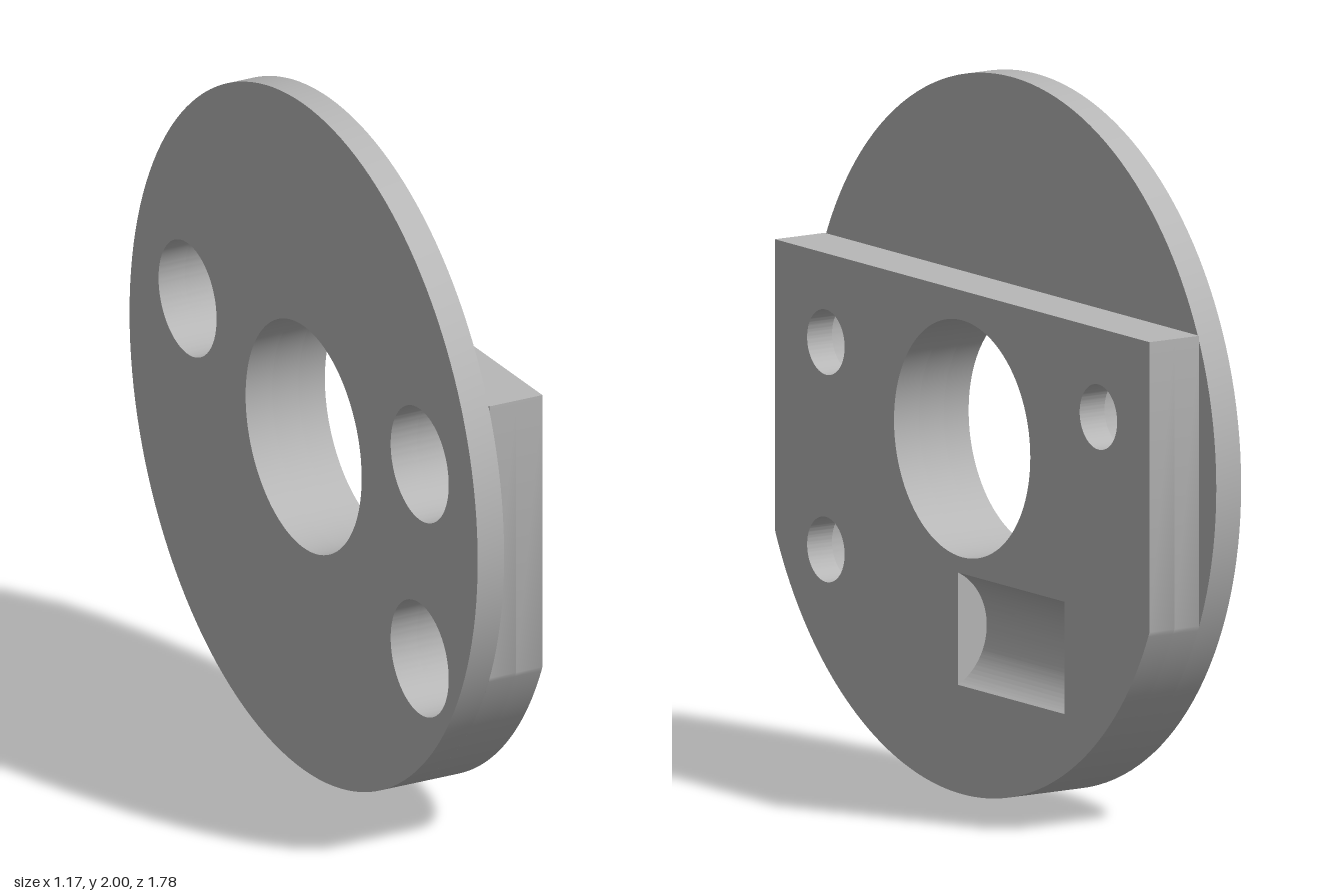
import * as THREE from 'three';
import { toCreasedNormals } from 'three/addons/utils/BufferGeometryUtils.js';

const FLANGE = 1 / 12;      // thickness of the round flange
const BORE_DEPTH = 1 / 6;   // depth of the wide screw bores
const TOTAL = 0.25;         // full thickness
const SCREWS = [[-2 / 3, 1 / 6], [2 / 3, 1 / 6], [2 / 3, -5 / 12]];
const POCKET = { x0: -0.5, x1: 0.02, y: -0.5375, half: 0.158, depth: 0.096 };

function addRoundHole(shape, x, y, r) {
  const hole = new THREE.Path();
  hole.absarc(x, y, r, 0, Math.PI * 2, true);
  shape.holes.push(hole);
}

function addHoles(shape, screwRadius) {
  addRoundHole(shape, 0, 0, 1 / 3);
  SCREWS.forEach(([x, y]) => addRoundHole(shape, x, y, screwRadius));
}

function extrude(shape, depth) {
  const geo = new THREE.ExtrudeGeometry(shape, { depth, bevelEnabled: false, curveSegments: 72 });
  return toCreasedNormals(geo, 0.5);
}

// Disc outline cut straight at both sides and across the top
function plateShape(screwRadius) {
  const side = Math.sqrt(0.84), low = -0.4, top = 5 / 12;
  const a = Math.atan2(low, side);
  const shape = new THREE.Shape();
  shape.moveTo(side, top);
  shape.lineTo(-side, top);
  shape.lineTo(-side, low);
  shape.absarc(0, 0, 1, Math.PI - a, Math.PI * 2 + a, false);
  shape.closePath();
  addHoles(shape, screwRadius);
  // Rectangular opening for the pocket
  const { x0, x1, y, half } = POCKET;
  shape.holes.push(new THREE.Path([
    new THREE.Vector2(x0, y - half), new THREE.Vector2(x0, y + half),
    new THREE.Vector2(x1, y + half), new THREE.Vector2(x1, y - half),
  ]));
  return shape;
}

// Block with a hollow round face that forms the pocket floor
function pocketFloor() {
  const { x0, x1, half, depth } = POCKET;
  const r = (half * half + depth * depth) / (2 * depth);
  const cx = TOTAL - depth + r;
  const a = Math.atan2(half, cx - TOTAL);
  const shape = new THREE.Shape();
  shape.moveTo(FLANGE, -half);
  shape.lineTo(TOTAL, -half);
  shape.absarc(cx, 0, r, Math.PI + a, Math.PI - a, true);
  shape.lineTo(FLANGE, half);
  shape.closePath();
  return extrude(shape, x1 - x0).rotateY(Math.PI / 2);
}

export function createModel() {
  const metal = new THREE.MeshStandardMaterial({ color: 0xb8b8b8 });
  metal.name = 'grey metal';
  const model = new THREE.Group();
  model.name = 'mountingFlange';
  const body = new THREE.Group();
  body.name = 'flangeBody';
  const add = (name, geo, x, y, z) => {
    const mesh = new THREE.Mesh(geo, metal);
    mesh.name = name;
    mesh.position.set(x, y, z);
    body.add(mesh);
  };

  // Round flange
  const disc = new THREE.Shape();
  disc.absarc(0, 0, 1, 0, Math.PI * 2, false);
  addHoles(disc, 1 / 6);
  add('roundFlange', extrude(disc, FLANGE), 0, 0, -FLANGE);

  // Cut plate: wide bores in the inner layer, narrow screw holes in the outer
  add('innerPlate', extrude(plateShape(1 / 6), BORE_DEPTH - FLANGE), 0, 0, -BORE_DEPTH);
  add('outerPlate', extrude(plateShape(0.0917), TOTAL - BORE_DEPTH), 0, 0, -TOTAL);
  add('pocketFloor', pocketFloor(), POCKET.x0, POCKET.y, 0);

  // Stand the part upright, turned about the vertical
  body.rotation.y = -Math.PI / 3;
  body.position.set(-0.087, 1, 0.0265);
  model.add(body);
  return model;
}
